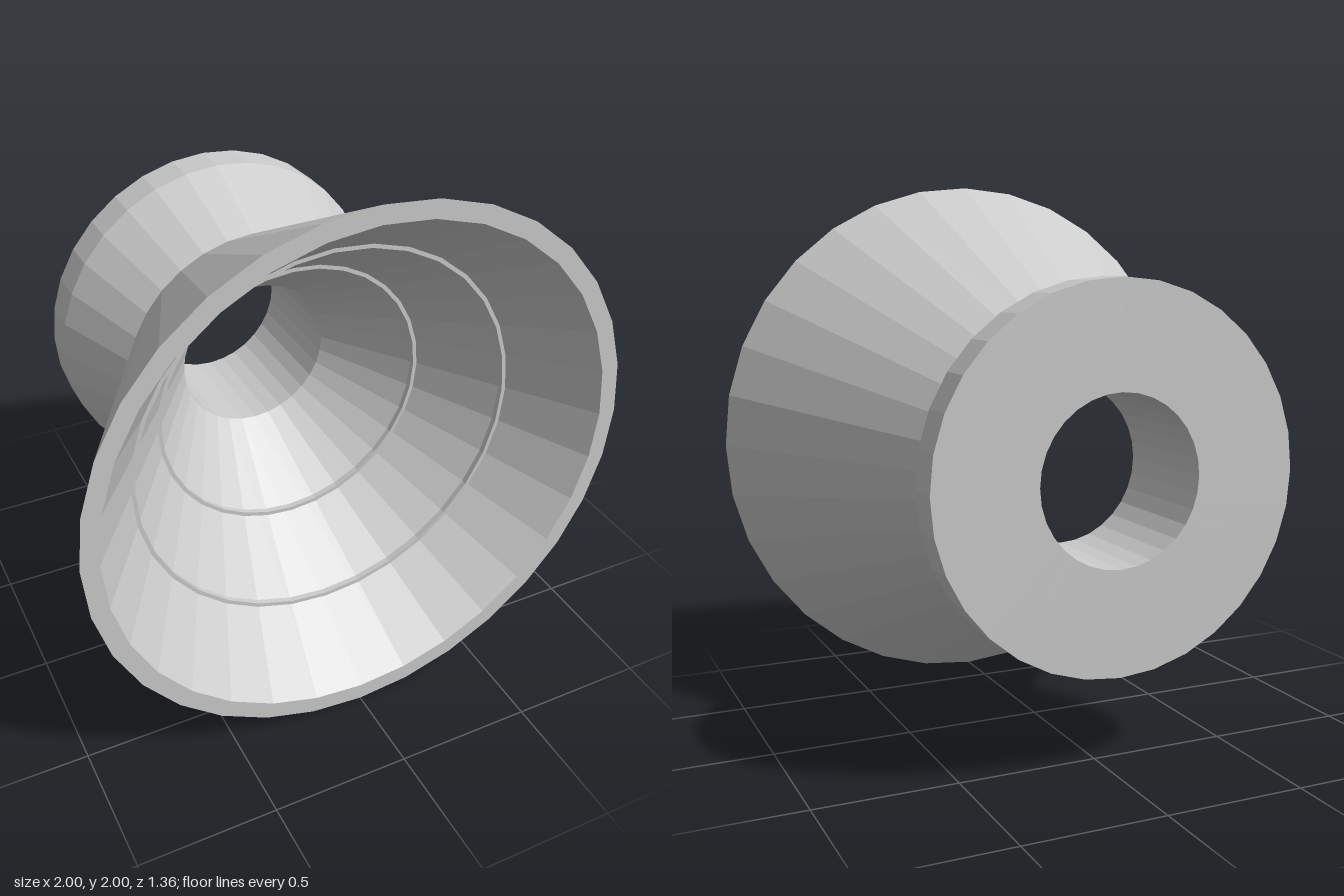
import * as THREE from 'three';

const SEGMENTS = 32;
const material = new THREE.MeshStandardMaterial({ color: 0xcccccc, flatShading: true });

// Inner wall of the funnel: radius to depth
const RIM = { r: 0.935, z: 0.68 }, BORE = { r: 0.29, z: -0.23 };
const wallZ = (r) =>
  THREE.MathUtils.mapLinear(r, BORE.r, RIM.r, BORE.z, RIM.z);

// Turns an [radius, z] profile around the z axis
function turned(name, profile) {
  const points = profile.map(([r, z]) => new THREE.Vector2(r, z));
  const geometry = new THREE.LatheGeometry(points, SEGMENTS);
  geometry.rotateX(Math.PI / 2);
  geometry.translate(0, 1, 0);
  const mesh = new THREE.Mesh(geometry, material);
  mesh.name = name;
  return mesh;
}

export function createModel() {
  const model = new THREE.Group();
  model.name = 'funnel';

  // Closed body: back flange, waist, flared cone, rim, inner cone and bore
  model.add(turned('body', [
    [BORE.r, -0.68],
    [0.655, -0.68],
    [0.655, -0.545],
    [0.51, -0.23],
    [1, 0.68],
    [RIM.r, RIM.z],
    [BORE.r, BORE.z],
    [BORE.r, -0.68],
  ]));

  // Two fine steps around the inner wall
  for (const r of [0.73, 0.525]) {
    const inner = r - 0.015;
    model.add(turned('wallRidge', [
      [r, wallZ(r)],
      [inner, wallZ(r)],
      [inner, wallZ(inner)],
    ]));
  }
  return model;
}
